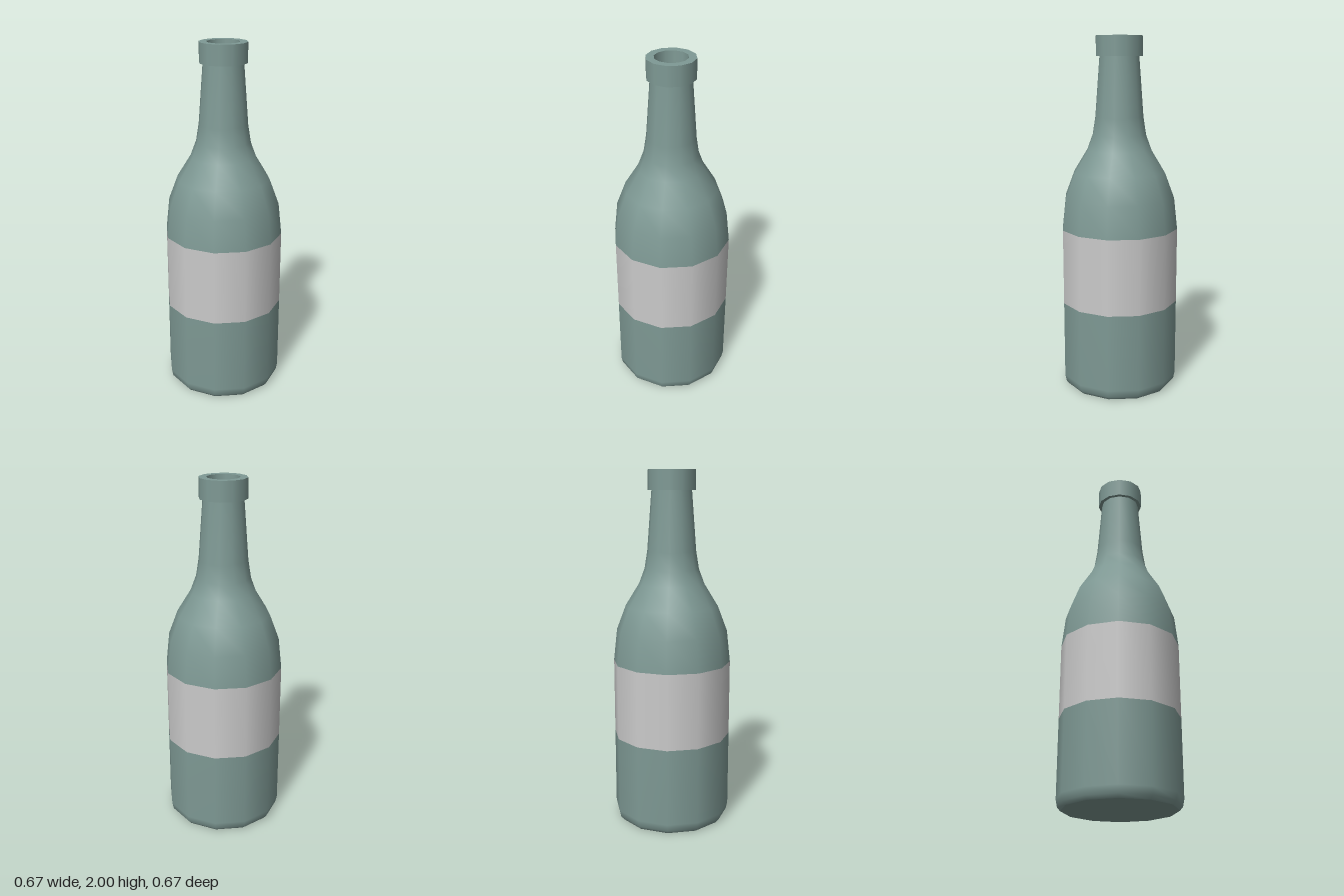
import * as THREE from 'three';

const SIDES = 12;
const glass = new THREE.MeshStandardMaterial({ color: 0x7f9a95 });
const paper = new THREE.MeshStandardMaterial({ color: 0xcccccc });

export function createModel() {
  const bottle = new THREE.Group();
  bottle.name = 'bottle';

  // Turned part from [radius, height] pairs; smooth inside a part, sharp between parts
  const turn = (name, profile, material = glass) => {
    const points = profile.map(([r, y]) => new THREE.Vector2(r, y));
    const mesh = new THREE.Mesh(new THREE.LatheGeometry(points, SIDES), material);
    mesh.name = name;
    bottle.add(mesh);
  };

  // Body
  turn('base', [[0, 0], [0.31, 0]]);
  turn('lowerBody', [[0.31, 0], [0.327, 0.02], [0.335, 0.06], [0.335, 0.5]]);
  turn('label', [[0.335, 0.5], [0.335, 0.93]], paper);
  turn('shoulderAndNeck', [
    [0.335, 0.93], [0.315, 1.11], [0.262, 1.25], [0.185, 1.375],
    [0.153, 1.46], [0.137, 1.56], [0.112, 1.89],
  ]);

  // Lip ring with its recessed mouth
  turn('lipUnderside', [[0.11, 1.89], [0.132, 1.89]]);
  turn('lipSide', [[0.132, 1.89], [0.132, 2]]);
  turn('lipTop', [[0.132, 2], [0.09, 2]]);
  turn('mouthWall', [[0.09, 2], [0.086, 1.85]]);
  turn('mouthFloor', [[0.086, 1.85], [0, 1.85]]);

  return bottle;
}
